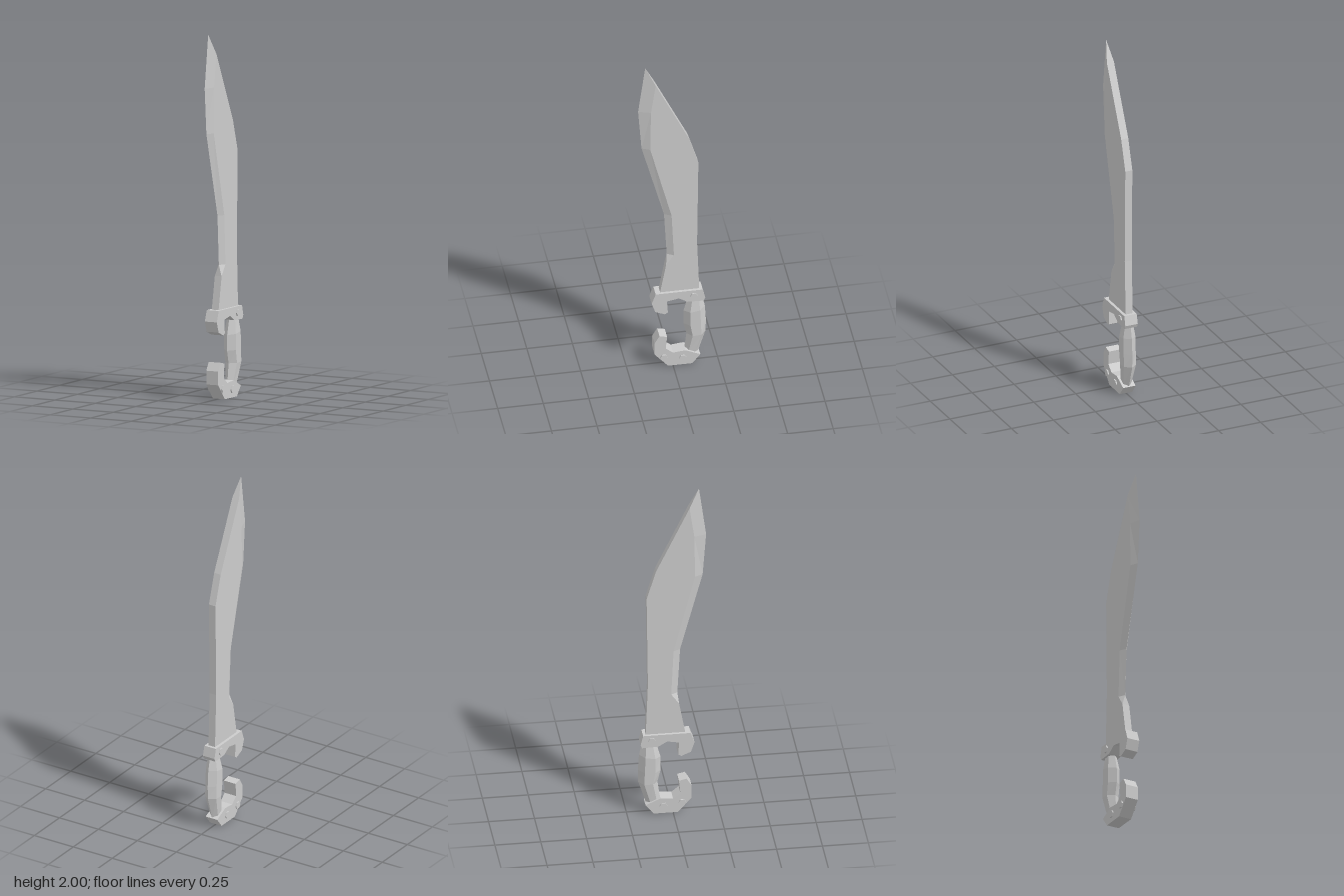
import * as THREE from 'three';

const material = new THREE.MeshStandardMaterial({ color: 0xcccccc, flatShading: true });

// Extrudes a [z, y] outline evenly to both sides of x = 0
function slab(outline, halfWidth) {
  const shape = new THREE.Shape(outline.map(([z, y]) => new THREE.Vector2(z, y)));
  return new THREE.ExtrudeGeometry(shape, { depth: 2 * halfWidth, bevelEnabled: false })
    .translate(0, 0, -halfWidth)
    .rotateY(-Math.PI / 2);
}

// Flat-faced geometry from a list of triangles
function facets(triangles) {
  const geometry = new THREE.BufferGeometry();
  geometry.setAttribute('position', new THREE.Float32BufferAttribute(triangles.flat(2), 3));
  geometry.computeVertexNormals();
  return geometry;
}

function add(parent, name, geometry, mat = material) {
  const mesh = new THREE.Mesh(geometry, mat);
  mesh.name = name;
  parent.add(mesh);
  return mesh;
}

function createBlade() {
  const blade = new THREE.Group();
  blade.name = 'blade';
  const half = 0.021;
  // Matching points of the cutting edge and the line where its bevel starts
  const edge = [[0.146, 2], [0.185, 1.71], [0.166, 1.46], [0.043, 1], [0.028, 0.73]];
  const inner = [[0.092, 1.89], [0.118, 1.71], [0.122, 1.46], [0.005, 1], [-0.008, 0.73]];
  const heel = [0.035, 0.67];
  const spine = [[-0.147, 0.48], [-0.135, 0.8], [-0.142, 1.34], [-0.09, 1.51]];
  add(blade, 'bladeBody', slab([...inner, heel, [0.07, 0.48], ...spine], half));

  // Bevels on both sides, plus the closing facets at the tip and heel
  const at = (x, [z, y]) => [x, y, z];
  const triangles = [];
  for (const s of [1, -1]) {
    const face = (a, b, c) => triangles.push(s > 0 ? [a, b, c] : [a, c, b]);
    for (let i = 0; i < edge.length - 1; i++) {
      const a = at(s * half, inner[i]), b = at(s * half, inner[i + 1]);
      const c = at(0, edge[i]), d = at(0, edge[i + 1]);
      face(a, c, d);
      face(a, d, b);
    }
    face(at(s * half, inner[4]), at(0, edge[4]), at(s * half, heel));
  }
  triangles.push([at(half, inner[0]), at(-half, inner[0]), at(0, edge[0])]);
  triangles.push([at(half, heel), at(0, edge[4]), at(-half, heel)]);
  const bevelMaterial = material.clone();
  bevelMaterial.side = THREE.DoubleSide;
  add(blade, 'cuttingEdge', facets(triangles), bevelMaterial);
  return blade;
}

// Six-sided swelling grip, ridged at front and back
function createGripGeometry() {
  // front z, front y, back z, back y, half width
  const sections = [
    [-0.068, 0.085, -0.142, 0.05, 0.024],
    [-0.08, 0.18, -0.185, 0.185, 0.036],
    [-0.063, 0.25, -0.187, 0.26, 0.036],
    [-0.064, 0.335, -0.181, 0.355, 0.036],
    [-0.088, 0.425, -0.165, 0.425, 0.024],
  ];
  const rings = sections.map(([fz, fy, bz, by, w]) =>
    [[0, 0], [1, 0.27], [1, 0.73], [0, 1], [-1, 0.73], [-1, 0.27]].map(([x, t]) =>
      [x * w, fy + (by - fy) * t, fz + (bz - fz) * t]));
  const triangles = [];
  for (let i = 0; i < rings.length - 1; i++) {
    for (let j = 0; j < 6; j++) {
      const k = (j + 1) % 6;
      const [lo, hi] = [rings[i], rings[i + 1]];
      triangles.push([lo[j], lo[k], hi[k]], [lo[j], hi[k], hi[j]]);
    }
  }
  const top = rings[rings.length - 1], bottom = rings[0];
  for (let j = 1; j < 5; j++) {
    triangles.push([top[0], top[j], top[j + 1]], [bottom[0], bottom[j + 1], bottom[j]]);
  }
  return facets(triangles);
}

export function createModel() {
  const sword = new THREE.Group();
  sword.name = 'sword';
  sword.add(createBlade());

  // Hooked guard
  add(sword, 'guard', slab([
    [0.095, 0.49], [0.117, 0.43], [0.097, 0.372], [0.045, 0.35], [0.028, 0.36],
    [0.033, 0.435], [-0.032, 0.447], [-0.08, 0.418], [-0.168, 0.415],
    [-0.177, 0.435], [-0.163, 0.49],
  ], 0.037));

  add(sword, 'grip', createGripGeometry());

  // Hooked pommel
  add(sword, 'pommel', slab([
    [0.074, 0.205], [0.101, 0.16], [0.101, 0.085], [0.027, 0], [-0.106, 0],
    [-0.15, 0.055], [-0.068, 0.092], [0, 0.085], [0.04, 0.118], [0.032, 0.195],
  ], 0.037));

  // Hexagonal rivets through guard and pommel
  for (const [z, y] of [[-0.115, 0.455], [-0.053, 0.045], [0.05, 0.06]]) {
    const rivet = add(sword, 'rivet', new THREE.CylinderGeometry(0.021, 0.021, 0.088, 6));
    rivet.rotation.z = Math.PI / 2;
    rivet.position.set(0, y, z);
  }
  return sword;
}
